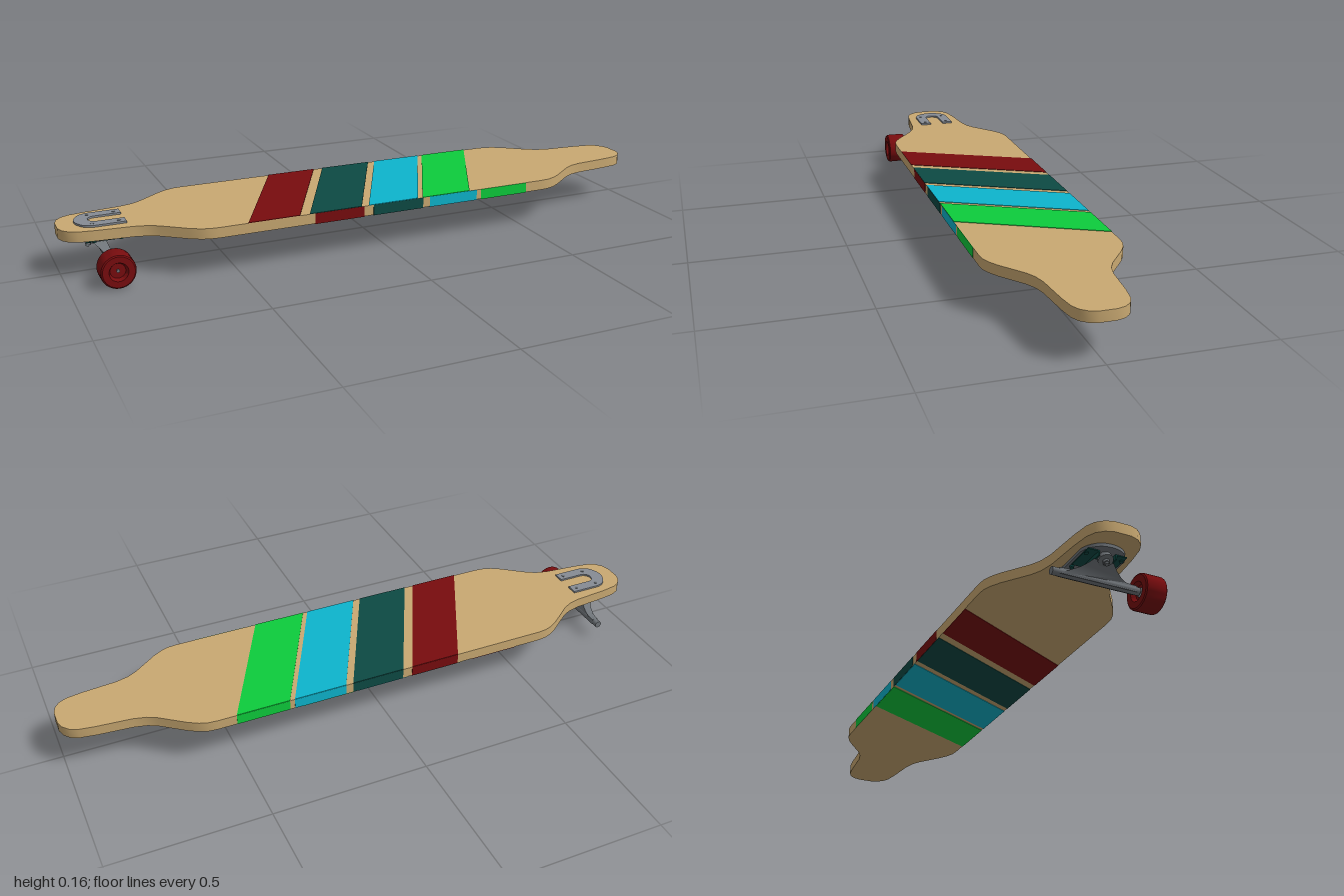
import * as THREE from 'three';
import { toCreasedNormals } from 'three/addons/utils/BufferGeometryUtils.js';

const material = (name, color) => {
  const m = new THREE.MeshStandardMaterial({ color });
  m.name = name;
  return m;
};

export function createModel() {
  const wood = material('wood', 0xc9a972);
  const red = material('dark red', 0x780c0e);
  const teal = material('dark teal', 0x0d4a44);
  const cyan = material('cyan', 0x0db5cd);
  const green = material('green', 0x0dcc3c);
  const steel = material('steel', 0x868c94);
  const darkSteel = material('dark steel', 0x70757a);

  const model = new THREE.Group();
  model.name = 'longboard';
  const add = (name, geometry, mat, x = 0, y = 0, z = 0, parent = model) => {
    const mesh = new THREE.Mesh(geometry, mat);
    mesh.name = name;
    mesh.position.set(x, y, z);
    parent.add(mesh);
    return mesh;
  };
  // Horizontal slab from a plan outline given as (x, -z)
  const slab = (shape, height) => {
    const g = new THREE.ExtrudeGeometry(shape, { depth: height, bevelEnabled: false, curveSegments: 10 });
    return toCreasedNormals(g.rotateX(-Math.PI / 2), 0.5);
  };

  // Deck: one quarter outline, mirrored to the other three
  const W = 0.214, BOTTOM = 0.122, TOP = 0.155;
  const quarter = [[1, 0.025], [0.992, 0.05], [0.975, 0.07], [0.95, 0.082], [0.9, 0.09], [0.79, 0.1],
    [0.75, 0.11], [0.72, 0.126], [0.645, 0.184], [0.615, 0.202], [0.59, 0.211], [0.56, W]];
  const back = [...quarter, ...quarter.map(([x, z]) => [-x, z]).reverse()];
  const outline = [...back, ...back.map(([x, z]) => [x, -z]).reverse()];
  add('deck', slab(new THREE.Shape(outline.map(p => new THREE.Vector2(...p))), TOP - BOTTOM), wood, 0, BOTTOM);

  // Painted bands: slanted on top, slanted the other way below, straight on the edges
  const SLANT = 0.215, PAINT = 0.0016;
  const bands = [['red', red, -0.255, -0.09], ['teal', teal, -0.058, 0.116],
    ['cyan', cyan, 0.14, 0.312], ['green', green, 0.328, 0.5]];
  for (const [name, mat, x0, x1] of bands) {
    for (const side of [1, -1]) {
      const band = new THREE.Shape([
        new THREE.Vector2(x0 - SLANT, -W * side), new THREE.Vector2(x1 - SLANT, -W * side),
        new THREE.Vector2(x1, W * side), new THREE.Vector2(x0, W * side)]);
      add(`${name} ${side > 0 ? 'top' : 'bottom'} stripe`, slab(band, PAINT), mat,
        0, side > 0 ? TOP : BOTTOM - PAINT);
      add(`${name} edge stripe`, new THREE.BoxGeometry(x1 - x0, TOP - BOTTOM, PAINT), mat,
        (x0 + x1) / 2, (TOP + BOTTOM) / 2, side * W);
    }
  }

  // Truck
  const truck = new THREE.Group();
  truck.name = 'truck';
  model.add(truck);
  const AX = -0.86, AY = 0.054;

  // U-shaped plate on top of the deck
  const horseshoe = new THREE.Shape();
  horseshoe.moveTo(-0.8, -0.061);
  horseshoe.lineTo(-0.8, -0.024);
  horseshoe.lineTo(-0.882, -0.024);
  horseshoe.absarc(-0.882, 0, 0.024, -Math.PI / 2, Math.PI / 2, true);
  horseshoe.lineTo(-0.8, 0.024);
  horseshoe.lineTo(-0.8, 0.061);
  horseshoe.lineTo(-0.895, 0.061);
  horseshoe.quadraticCurveTo(-0.925, 0.058, -0.937, 0.034);
  horseshoe.quadraticCurveTo(-0.958, 0, -0.937, -0.034);
  horseshoe.quadraticCurveTo(-0.925, -0.058, -0.895, -0.061);
  add('top plate', slab(horseshoe, 0.006), steel, 0, TOP, 0, truck);
  for (const side of [1, -1]) {
    for (const x of [-0.9, -0.82]) {
      add('plate bolt', new THREE.CylinderGeometry(0.006, 0.006, 0.002, 12), darkSteel, x, 0.161, side * 0.042, truck);
      add('bolt nut', new THREE.CylinderGeometry(0.007, 0.007, 0.006, 6), teal, x, 0.109, side * 0.054, truck);
    }
    // Kingpin bracket walls and flanges
    add('bracket wall', new THREE.BoxGeometry(0.09, 0.016, 0.004), teal, -0.875, 0.104, side * 0.026, truck);
    add('bracket flange', new THREE.BoxGeometry(0.09, 0.003, 0.036), teal, -0.875, 0.1105, side * 0.042, truck);
  }

  // Base plate under the deck
  const base = new THREE.Shape();
  base.moveTo(-0.755, -0.045);
  base.lineTo(-0.755, 0.045);
  base.lineTo(-0.79, 0.067);
  base.lineTo(-0.895, 0.067);
  base.quadraticCurveTo(-0.945, 0.05, -0.945, 0);
  base.quadraticCurveTo(-0.945, -0.05, -0.895, -0.067);
  base.lineTo(-0.79, -0.067);
  add('base plate', slab(base, 0.01), darkSteel, 0, 0.112, 0, truck);

  // Hanger: a flared web with a tapered top, extruded across the truck
  const web = new THREE.Shape();
  web.moveTo(-0.12, 0.046);
  web.lineTo(0.12, 0.046);
  web.lineTo(0.12, 0.064);
  web.lineTo(0.088, 0.066);
  web.quadraticCurveTo(0.062, 0.07, 0.03, 0.097);
  web.lineTo(-0.03, 0.097);
  web.quadraticCurveTo(-0.062, 0.07, -0.088, 0.066);
  web.lineTo(-0.12, 0.064);
  const webGeometry = new THREE.ExtrudeGeometry(web, { depth: 0.02, bevelEnabled: false, curveSegments: 6 });
  webGeometry.translate(0, 0, -0.01).rotateY(-Math.PI / 2);
  // Lean the upper part of the web toward the kingpin
  const p = webGeometry.attributes.position;
  for (let i = 0; i < p.count; i++) {
    const t = Math.max(0, p.getY(i) - 0.066) / 0.031;
    p.setX(i, p.getX(i) * (1 + t) - 0.02 * t);
  }
  add('hanger', toCreasedNormals(webGeometry, 0.5), darkSteel, AX, 0, 0, truck);

  const rod = (r, z0, z1) => new THREE.CylinderGeometry(r, r, z1 - z0, 20)
    .rotateX(Math.PI / 2).translate(0, 0, (z0 + z1) / 2);
  add('axle', rod(0.0115, -0.141, 0.13), darkSteel, AX, AY, 0, truck);
  add('axle pin', rod(0.005, 0.13, 0.182), darkSteel, AX, AY, 0, truck);

  // Kingpin with bushing and nut
  const kingpin = new THREE.Group();
  kingpin.name = 'kingpin';
  kingpin.position.set(-0.905, 0.1, 0);
  kingpin.rotation.z = -0.35;
  truck.add(kingpin);
  add('bushing', new THREE.CylinderGeometry(0.019, 0.022, 0.016, 16), darkSteel, 0, 0, 0, kingpin);
  add('kingpin bolt', new THREE.CylinderGeometry(0.006, 0.006, 0.045, 12), darkSteel, 0, -0.002, 0, kingpin);
  add('kingpin nut', new THREE.CylinderGeometry(0.01, 0.01, 0.008, 6), darkSteel, 0, -0.014, 0, kingpin);

  // Wheel with bevelled tread and recessed faces
  const half = [[0, 0.02], [0.023, 0.02], [0.029, 0.034], [0.048, 0.034], [0.052, 0.031], [0.0535, 0.026]];
  const profile = [...half.map(([r, y]) => [r, -y]), ...[...half].reverse()];
  const wheel = new THREE.LatheGeometry(profile.map(q => new THREE.Vector2(...q)), 32).rotateX(Math.PI / 2);
  add('wheel', toCreasedNormals(wheel, 0.5), red, AX, 0.0535, 0.157, truck);
  add('wheel hub', rod(0.014, 0.134, 0.138), steel, AX, 0.0535, 0, truck);

  return model;
}
